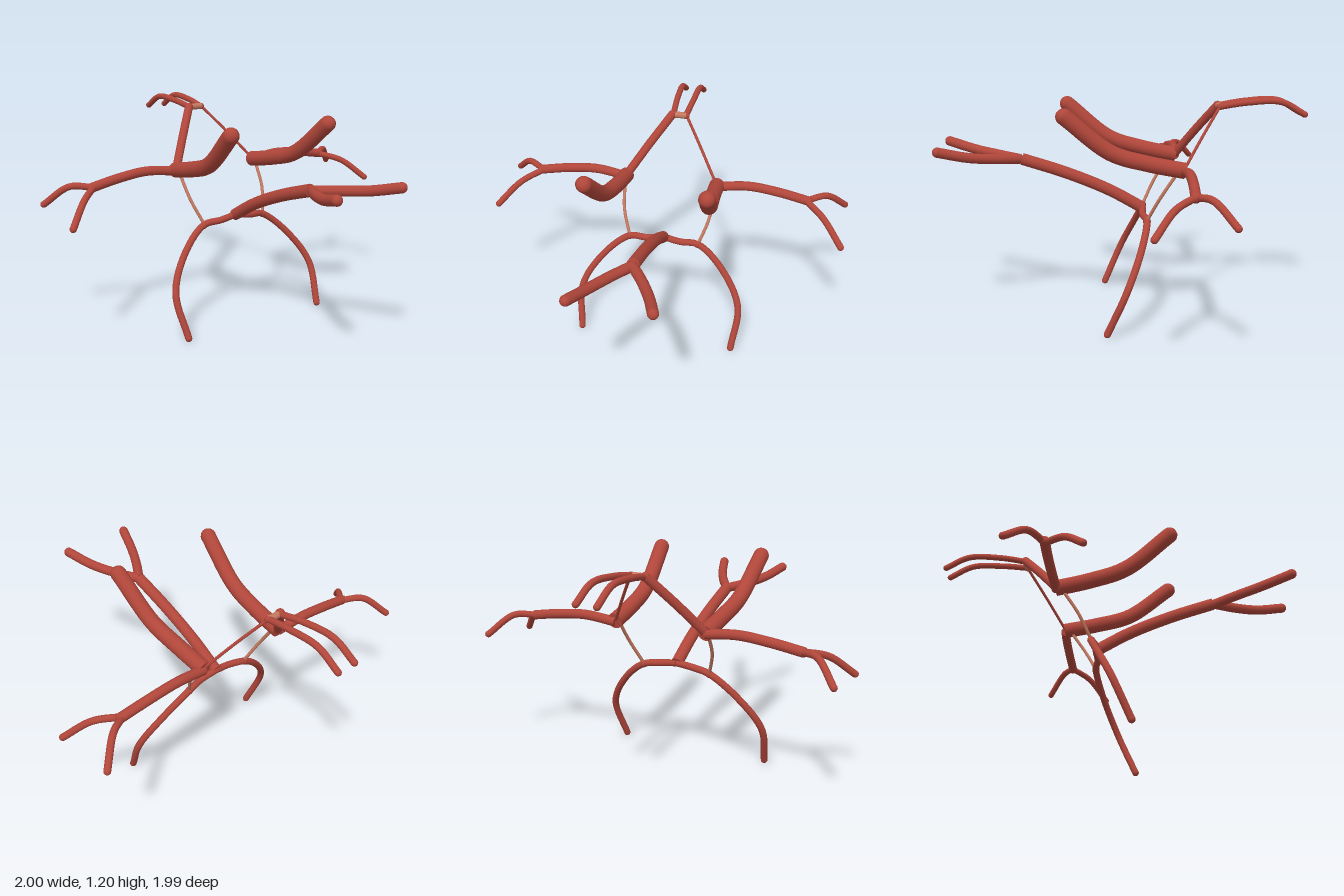
import * as THREE from 'three';

const red = new THREE.MeshStandardMaterial({ color: 0xb0463a });
red.name = 'vessel red';
const pale = new THREE.MeshStandardMaterial({ color: 0xc4785f });
pale.name = 'connector pale red';

// Round vessel along a smooth path; the far end is domed, the near end is flat
function vessel(name, radius, points, material = red, domed = true) {
  const group = new THREE.Group();
  group.name = name;
  const curve = new THREE.CatmullRomCurve3(points.map(p => new THREE.Vector3(...p)));
  const tube = new THREE.Mesh(new THREE.TubeGeometry(curve, 40, radius, 16), material);
  tube.name = name + 'Tube';
  group.add(tube);

  const startCap = new THREE.Mesh(new THREE.CircleGeometry(radius, 16), material);
  startCap.name = name + 'StartCap';
  startCap.position.copy(curve.getPoint(0));
  startCap.lookAt(curve.getPoint(0).sub(curve.getTangent(0)));
  group.add(startCap);

  const end = domed ? new THREE.SphereGeometry(radius, 16, 12) : new THREE.CircleGeometry(radius, 16);
  const endCap = new THREE.Mesh(end, material);
  endCap.name = name + 'EndCap';
  endCap.position.copy(curve.getPoint(1));
  endCap.lookAt(curve.getPoint(1).add(curve.getTangent(1)));
  group.add(endCap);
  return group;
}

export function createModel() {
  const model = new THREE.Group();
  model.name = 'arterialRing';

  // Central trunk
  model.add(vessel('basilarTrunk', 0.033,
    [[0, 0.868, 0.55], [0, 0.79, 0.31], [0, 0.695, 0.08], [0, 0.59, -0.11]], red, false));

  for (const [side, s] of [['left', 1], ['right', -1]]) {
    const add = (name, radius, points, material, domed) =>
      model.add(vessel(side + name, radius, points.map(([x, y, z]) => [x * s, y, z]), material, domed));

    // Forked front pair feeding the trunk
    add('VertebralArtery', 0.027,
      [[0, 0.868, 0.56], [0.075, 0.88, 0.68], [0.145, 0.9, 0.82], [0.2, 0.938, 0.97]]);

    // Long arms curling down to the ground
    add('PosteriorArtery', 0.019,
      [[0, 0.59, -0.11], [0.1, 0.575, -0.105], [0.2, 0.56, -0.122], [0.345, 0.44, -0.085],
        [0.46, 0.25, -0.005], [0.445, 0.02, 0.095]]);

    // Thick rising stumps
    add('CarotidArtery', 0.043,
      [[0.262, 0.845, -0.315], [0.27, 0.885, -0.12], [0.285, 0.945, 0.07], [0.31, 1.135, 0.308]]);

    // Side arms with their two branches
    add('MiddleArtery', 0.026,
      [[0.262, 0.84, -0.31], [0.44, 0.86, -0.32], [0.61, 0.845, -0.318], [0.775, 0.817, -0.31]]);
    add('MiddleRearBranch', 0.018,
      [[0.765, 0.817, -0.31], [0.87, 0.822, -0.38], [0.98, 0.722, -0.475]]);
    add('MiddleFrontBranch', 0.018,
      [[0.765, 0.817, -0.31], [0.87, 0.78, -0.205], [0.98, 0.675, -0.105]]);

    // Upper link of the ring, much thinner on the left
    add('AnteriorLink', s > 0 ? 0.008 : 0.024,
      [[0.26, 0.85, -0.31], [0.148, 1.01, -0.418], [0.042, 1.152, -0.52]]);

    // Paired rear vessels
    add('AnteriorArtery', 0.017,
      [[0.036, 1.152, -0.52], [0.047, 1.175, -0.67], [0.053, 1.178, -0.85], [0.055, 1.11, -0.98]]);

    // Slim connector between carotid and posterior vessels
    add('RearConnector', 0.009,
      [[0.26, 0.84, -0.28], [0.246, 0.7, -0.19], [0.2, 0.565, -0.122]], pale);

    // Rounded joints where vessels meet
    const joints = [[0.2, 0.56, -0.122, 0.021], [0.04, 1.152, -0.52, s > 0 ? 0.018 : 0.024],
      [0.77, 0.817, -0.31, 0.025]];
    for (const [x, y, z, r] of joints) {
      const joint = new THREE.Mesh(new THREE.SphereGeometry(r, 16, 12), red);
      joint.name = side + 'Joint';
      joint.position.set(x * s, y, z);
      model.add(joint);
    }
  }

  // Short bridge joining the rear pair
  model.add(vessel('frontConnector', 0.018,
    [[-0.04, 1.152, -0.52], [0, 1.152, -0.522], [0.04, 1.152, -0.52]], pale, false));

  return model;
}
